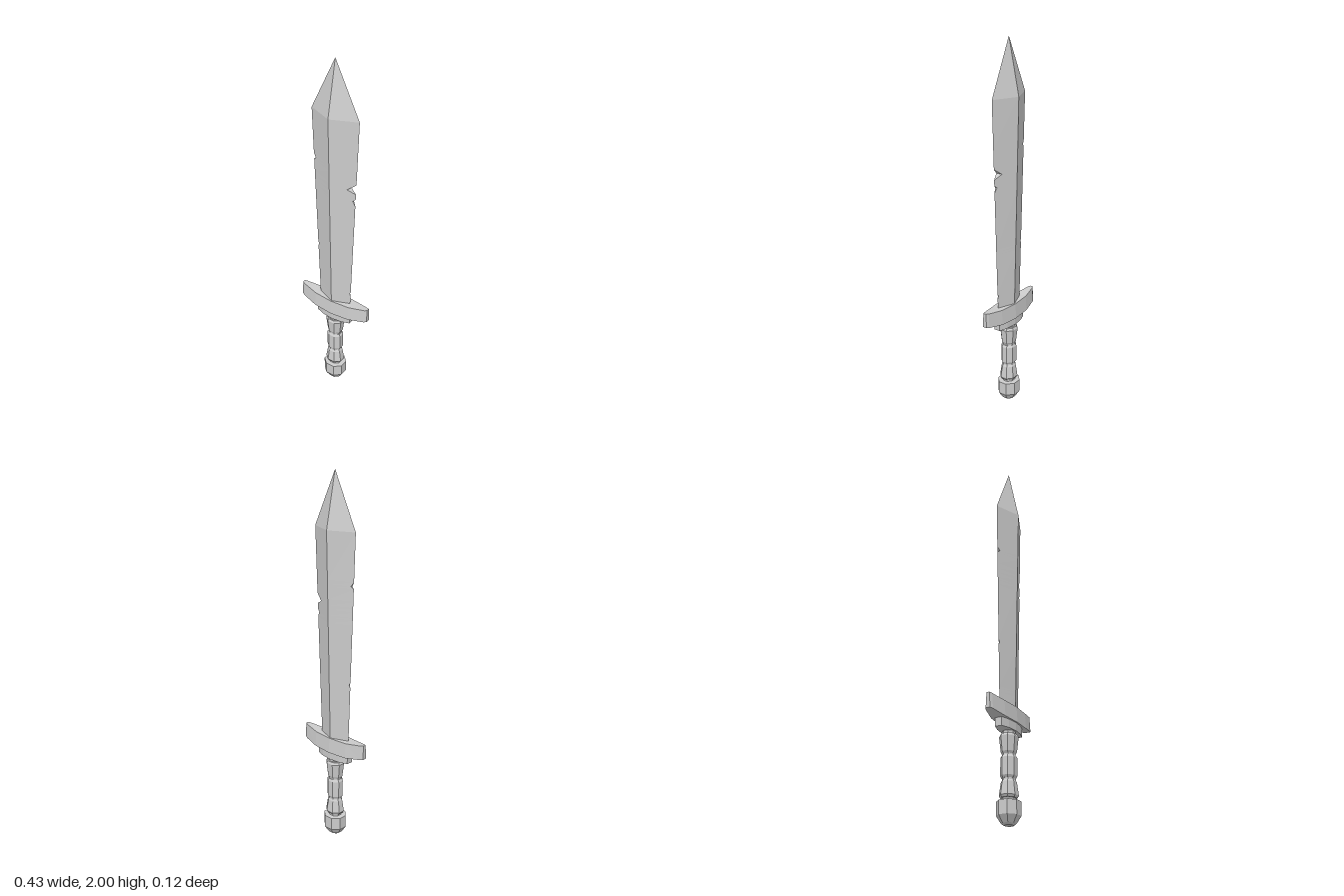
import * as THREE from 'three';

const material = new THREE.MeshStandardMaterial({ color: 0xcccccc, flatShading: true });

function addMesh(group, name, geometry) {
  const mesh = new THREE.Mesh(geometry, material);
  mesh.name = name;
  group.add(mesh);
  return mesh;
}

// Skins a list of rings (counter-clockwise about the loft direction) and caps both ends.
function loft(rings) {
  const pos = [];
  const tri = (a, b, c) => {
    const u = new THREE.Vector3(...b).sub(new THREE.Vector3(...a));
    const v = new THREE.Vector3(...c).sub(new THREE.Vector3(...a));
    if (u.cross(v).length() > 1e-8) pos.push(...a, ...b, ...c);
  };
  const n = rings[0].length;
  for (let i = 0; i < rings.length - 1; i++) {
    for (let j = 0; j < n; j++) {
      const k = (j + 1) % n;
      tri(rings[i][j], rings[i][k], rings[i + 1][k]);
      tri(rings[i][j], rings[i + 1][k], rings[i + 1][j]);
    }
  }
  const first = rings[0], last = rings[rings.length - 1];
  for (let j = 1; j < n - 1; j++) {
    tri(first[0], first[j + 1], first[j]);
    tri(last[0], last[j], last[j + 1]);
  }
  const geometry = new THREE.BufferGeometry();
  geometry.setAttribute('position', new THREE.Float32BufferAttribute(pos, 3));
  geometry.computeVertexNormals();
  return geometry;
}

// Diamond-section blade, widening to a shoulder, with chips cut into its edges.
function bladeGeometry() {
  const base = 0.56, shoulder = 1.71, tip = 2;
  // side, bottom y, deepest y, top y, depth
  const nicks = [
    [1, 1.305, 1.328, 1.36, 0.043],
    [1, 1.235, 1.262, 1.275, 0.014],
    [1, 0.64, 0.66, 0.67, 0.005],
    [-1, 1.425, 1.438, 1.46, 0.016],
    [-1, 0.895, 0.91, 0.925, 0.007],
  ];
  const levels = [base, shoulder, tip, ...nicks.flatMap((n) => n.slice(1, 4))].sort((a, b) => a - b);
  const ring = (y) => {
    const up = (y - base) / (shoulder - base);
    const toTip = (tip - y) / (tip - shoulder);
    const w = y <= shoulder ? 0.098 + 0.042 * up : 0.14 * toTip;
    const h = y <= shoulder ? 0.037 + 0.023 * up : 0.06 * toTip;
    const edge = (side) => {
      const nick = nicks.find((n) => n[0] === side && n[2] === y);
      const cut = nick ? nick[4] : 0;
      return [side * (w - cut), w > 0 ? (h * cut) / w : 0];
    };
    const [xr, tr] = edge(1), [xl, tl] = edge(-1);
    return [[0, y, h], [xr, y, tr], [xr, y, -tr], [0, y, -h], [xl, y, -tl], [xl, y, tl]];
  };
  return loft(levels.map(ring));
}

// Bar running along x from half stations [x, bottom, top, zBottom, zTop], mirrored about x = 0.
function barGeometry(half) {
  const mirrored = half.filter((s) => s[0] > 0).map(([x, ...rest]) => [-x, ...rest]).reverse();
  return loft([...mirrored, ...half].map(([x, b, t, zb, zt]) =>
    [[x, t, -zt], [x, t, zt], [x, b, zb], [x, b, -zb]]));
}

// Eight-sided turned part with flats facing front and side; profile is [half width, y].
function octagonGeometry(profile, depth) {
  const k = 1 / Math.cos(Math.PI / 8);
  const points = profile.map(([r, y]) => new THREE.Vector2(r * k, y));
  return new THREE.LatheGeometry(points, 8, Math.PI / 8).scale(1, 1, depth);
}

export function createModel() {
  const sword = new THREE.Group();
  sword.name = 'sword';

  addMesh(sword, 'blade', bladeGeometry());

  // Crossguard with upswept, narrowing ends
  addMesh(sword, 'crossguard', barGeometry([
    [0, 0.505, 0.588, 0.049, 0.043],
    [0.11, 0.507, 0.589, 0.04, 0.034],
    [0.2, 0.52, 0.599, 0.02, 0.015],
    [0.215, 0.523, 0.602, 0.012, 0.008],
  ]));
  addMesh(sword, 'guardCollar', barGeometry([
    [0, 0.463, 0.515, 0.041, 0.041],
    [0.06, 0.463, 0.515, 0.034, 0.034],
    [0.108, 0.463, 0.515, 0.018, 0.018],
  ]));

  // Grip core and three wrapped segments: bottom y, top y, bottom and top half widths
  const grip = new THREE.Group();
  grip.name = 'grip';
  sword.add(grip);
  addMesh(grip, 'gripCore', octagonGeometry([[0, 0.08], [0.034, 0.08], [0.034, 0.48], [0, 0.48]], 0.9));
  const segments = [[0.13, 0.22, 0.05, 0.04], [0.226, 0.34, 0.043, 0.043], [0.346, 0.447, 0.041, 0.05]];
  for (const [b, t, rb, rt] of segments) {
    addMesh(grip, 'gripSegment', octagonGeometry([
      [0, b], [rb - 0.007, b], [rb, b + 0.012], [rt, t - 0.012], [rt - 0.007, t], [0, t],
    ], 0.88));
  }

  // Pommel with a tapered underside
  addMesh(sword, 'pommel', octagonGeometry([
    [0, 0], [0.024, 0], [0.037, 0.009], [0.06, 0.045], [0.06, 0.115], [0, 0.118],
  ], 0.92));

  return sword;
}
